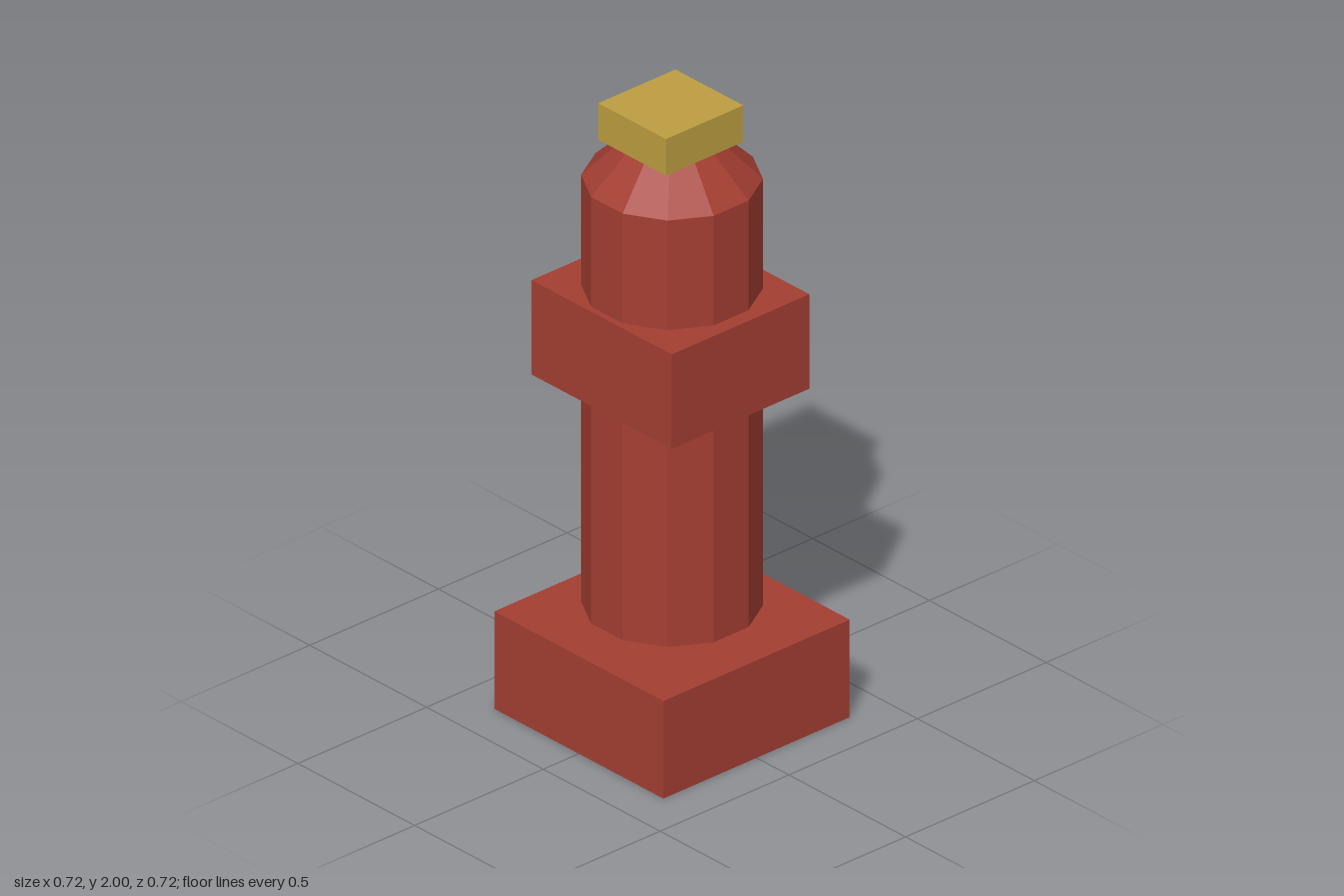
import * as THREE from 'three';

export function createModel() {
  const group = new THREE.Group();
  group.name = 'hydrant';

  const red = new THREE.MeshStandardMaterial({ color: 0xa43e32 });
  red.name = 'brick red';
  const yellow = new THREE.MeshStandardMaterial({ color: 0xbd9e40 });
  yellow.name = 'mustard yellow';

  const add = (name, geometry, material, x, y, z = 0) => {
    const mesh = new THREE.Mesh(geometry, material);
    mesh.name = name;
    mesh.position.set(x, y, z);
    group.add(mesh);
  };
  // Box spanning two heights
  const block = (name, material, width, depth, y0, y1, x = 0) =>
    add(name, new THREE.BoxGeometry(width, y1 - y0, depth), material, x, (y0 + y1) / 2);

  // Twelve-sided section with a flat side facing front
  const drum = (name, rBottom, rTop, y0, y1) => {
    const geometry = new THREE.CylinderGeometry(rTop, rBottom, y1 - y0, 12, 1, false, Math.PI / 12)
      .toNonIndexed();
    geometry.computeVertexNormals();
    add(name, geometry, red, 0, (y0 + y1) / 2);
  };

  // Square foot, with the barrel standing just clear of it
  block('base', red, 0.724, 0.724, 0, 0.32);
  drum('barrel', 0.262, 0.262, 0.36, 1.76);
  drum('shoulder', 0.262, 0.14, 1.76, 1.88);

  // Crossing outlet block and top cap, both slightly off centre
  block('outletBlock', red, 0.535, 0.6, 1.09, 1.4, -0.006);
  block('cap', yellow, 0.3, 0.29, 1.88, 2, -0.005);

  return group;
}
